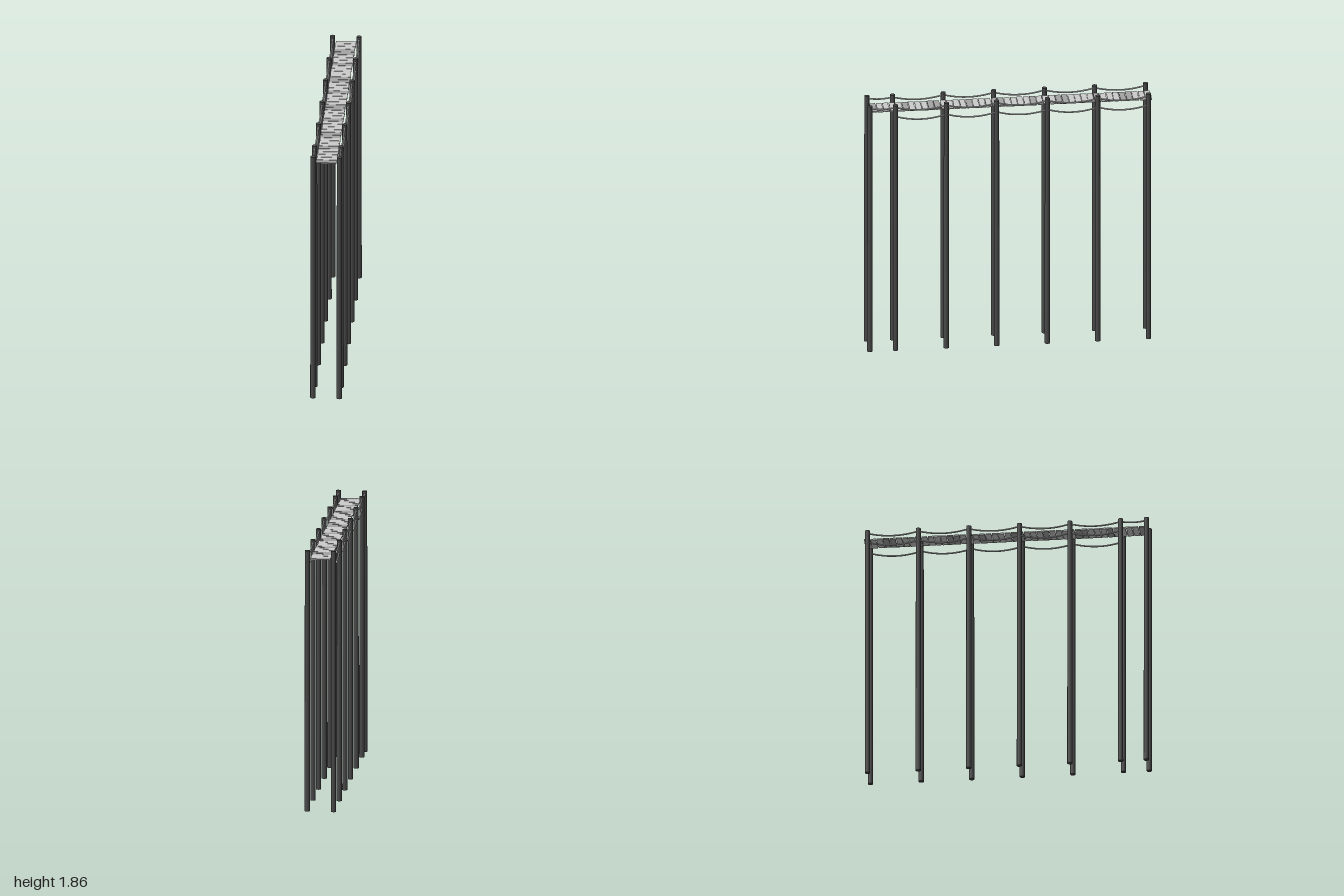
import * as THREE from 'three';

const SIDES = [-1, 1];
const POST_Z = [0.98, 0.8, 0.445, 0.092, -0.262, -0.615, -0.97];
const POST_X = 0.092;
const DECK_Y = 1.8;

// small seeded random for hand-cut planks
function seeded(seed) {
  return () => {
    seed = (seed * 16807) % 2147483647;
    return seed / 2147483647;
  };
}

export function createModel() {
  const group = new THREE.Group();
  const rand = seeded(77);
  const postMat = new THREE.MeshStandardMaterial({ color: 0x4a4a4a });
  const ropeMat = new THREE.MeshStandardMaterial({ color: 0xcccccc });
  const plankMat = new THREE.MeshStandardMaterial({ color: 0xcccccc, flatShading: true });
  const darkPlankMat = new THREE.MeshStandardMaterial({ color: 0xa4a4a4, flatShading: true });

  function add(name, geometry, material) {
    const mesh = new THREE.Mesh(geometry, material);
    mesh.name = name;
    group.add(mesh);
    return mesh;
  }

  // tall round posts in pairs
  const postGeo = new THREE.CylinderGeometry(0.0175, 0.0185, 1.855, 12);
  for (const s of SIDES) {
    for (const z of POST_Z) {
      add(s > 0 ? 'leftPost' : 'rightPost', postGeo, postMat).position.set(s * POST_X, 1.855 / 2, z);
    }
  }

  // rope hanging in a parabola between two neighbouring posts
  function addRope(name, x, y, z0, z1, sag) {
    const points = [];
    for (let i = 0; i <= 8; i++) {
      const t = i / 8;
      points.push(new THREE.Vector3(x, y - sag * 4 * t * (1 - t), z0 + (z1 - z0) * t));
    }
    add(name, new THREE.TubeGeometry(new THREE.CatmullRomCurve3(points), 16, 0.006, 8), ropeMat);
  }
  for (const s of SIDES) {
    for (let i = 0; i < POST_Z.length - 1; i++) {
      const z0 = POST_Z[i], z1 = POST_Z[i + 1];
      addRope('upperRope', s * POST_X, 1.836, z0, z1, i === 0 ? 0.01 : 0.025);
      // the short end bay has no lower rope
      if (i > 0) addRope('lowerRope', s * POST_X, 1.768, z0, z1, 0.028);
    }
  }

  // deck of uneven planks laid side by side
  const count = 44;
  const start = -1, end = 0.967;
  const pitch = (end - start) / count;
  for (let i = 0; i < count; i++) {
    const geo = new THREE.BoxGeometry(0.142, 0.009, pitch, 4, 1, 1);
    const p = geo.attributes.position;
    // one inset per column and edge, so top and bottom stay aligned
    const inset = Array.from({ length: 10 }, () => rand() * 0.004);
    for (let v = 0; v < p.count; v++) {
      const column = Math.round((p.getX(v) / 0.142 + 0.5) * 4);
      const back = p.getZ(v) < 0;
      const cut = inset[column + (back ? 5 : 0)];
      p.setZ(v, p.getZ(v) + (back ? cut : -cut));
    }
    geo.computeVertexNormals();
    const dark = i % 5 === 3 || i % 10 === 4;
    const plank = add('plank', geo, dark ? darkPlankMat : plankMat);
    plank.position.set((rand() - 0.5) * 0.004, DECK_Y, start + pitch * (i + 0.5));
  }

  return group;
}
